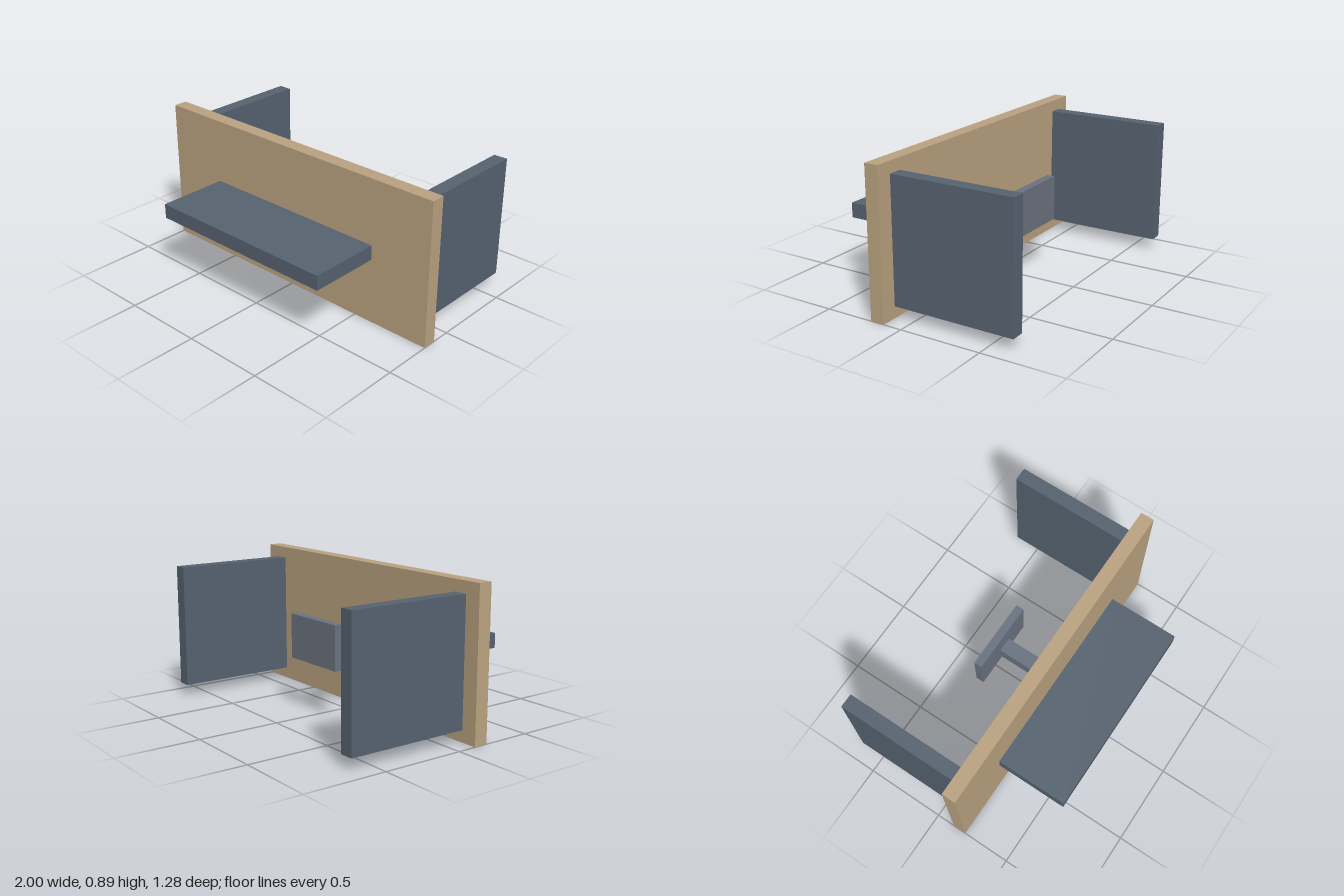
import * as THREE from 'three';

const paint = (color) => new THREE.MeshStandardMaterial({ color });

export function createModel() {
  const model = new THREE.Group();
  const wood = paint(0xbaa280);
  const slate = paint(0x566270);
  const grey = paint(0x6b7280);
  const cyan = paint(0x38b6d6);

  // Adds a box spanning the given [min, max] ranges
  const addBox = (name, material, [x0, x1], [y0, y1], [z0, z1]) => {
    const mesh = new THREE.Mesh(new THREE.BoxGeometry(x1 - x0, y1 - y0, z1 - z0), material);
    mesh.position.set((x0 + x1) / 2, (y0 + y1) / 2, (z0 + z1) / 2);
    mesh.name = name;
    model.add(mesh);
  };

  // Upright wooden board
  addBox('board', wood, [-1, 1], [0, 0.89], [0.115, 0.2]);

  // Side panels reaching backwards
  addBox('leftSidePanel', slate, [0.815, 0.9], [0.07, 0.82], [-0.64, 0.115]);
  addBox('rightSidePanel', slate, [-0.9, -0.815], [0.07, 0.82], [-0.64, 0.115]);

  // Front shelf with a thin light strip just below it
  addBox('shelf', slate, [-0.61, 0.61], [0.4, 0.49], [0.2, 0.64]);
  addBox('lightStrip', cyan, [-0.545, 0.545], [0.38, 0.397], [0.215, 0.57]);

  // Rear stem and the plate set just behind it
  addBox('stem', grey, [-0.045, 0.045], [0.4, 0.49], [-0.178, 0.115]);
  addBox('rearPlate', grey, [-0.22, 0.22], [0.31, 0.58], [-0.24, -0.19]);

  return model;
}
